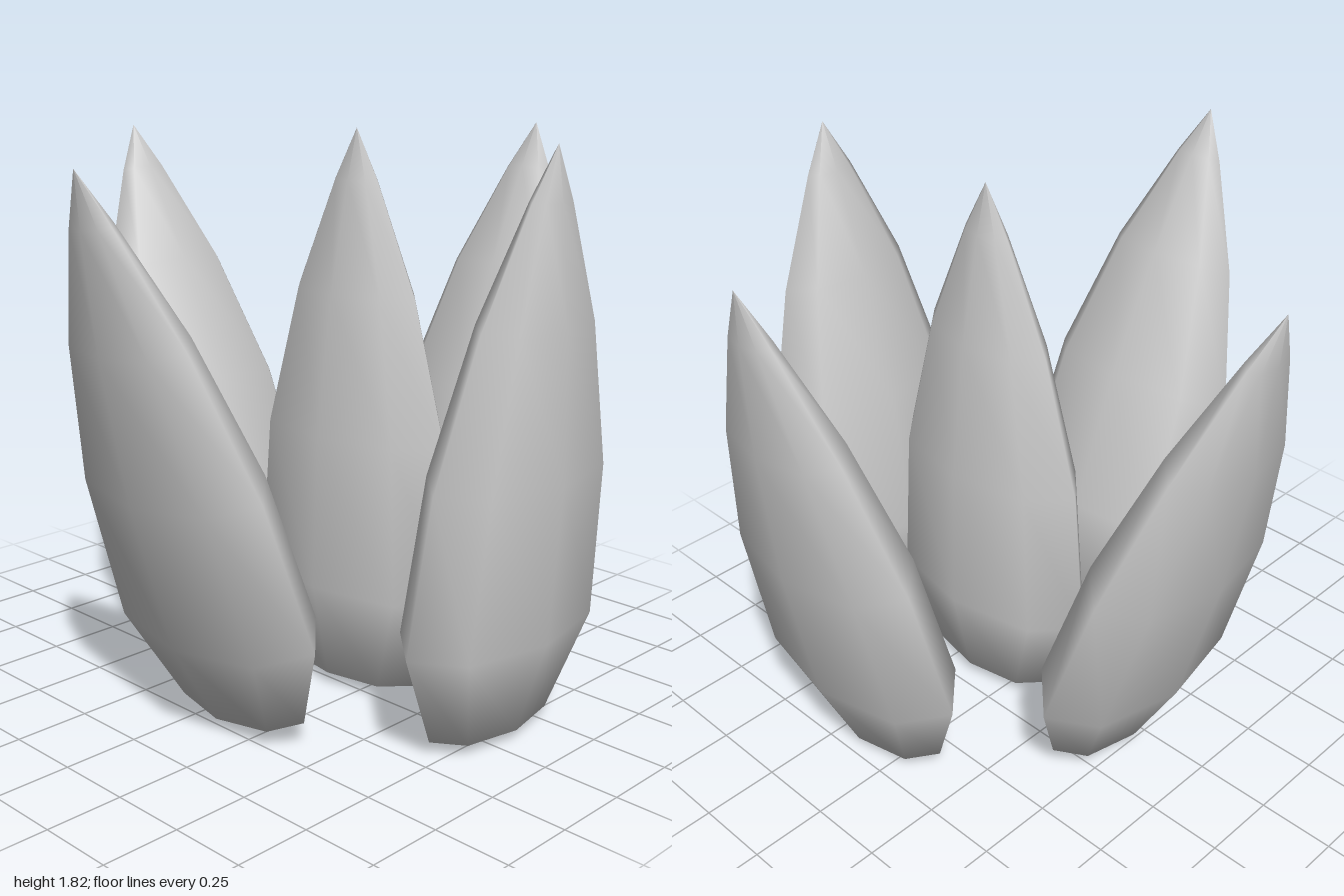
import * as THREE from 'three';

export function createModel() {
  const model = new THREE.Group();
  const material = new THREE.MeshStandardMaterial({ color: 0xcccccc });

  // Leaf blade: eight-sided spindle, flattened across its thickness (x)
  const profile = [
    [0, 0], [0.27, 0.04], [0.42, 0.36], [0.38, 0.86],
    [0.25, 1.31], [0.09, 1.66], [0, 1.82],
  ].map(([r, y]) => new THREE.Vector2(r, y));
  const blade = new THREE.LatheGeometry(profile, 8);
  blade.scale(0.45, 1, 1);

  // Each leaf: base position, heading around y, outward lean in degrees
  const leaves = [
    ['centerLeaf', [0.08, 0, 0.14], 0, 0],
    ['leftLeaf', [0.59, 0.02, 0.14], 0, 13],
    ['frontLeaf', [0.08, 0.005, 0.706], -90, 6.1],
    ['rightLeaf', [-0.407, 0.045, 0.14], 180, 18.9],
    ['backLeaf', [0.08, 0.047, -0.392], 90, 18.2],
  ];
  for (const [name, base, heading, lean] of leaves) {
    const leaf = new THREE.Mesh(blade, material);
    leaf.name = name;
    leaf.position.set(...base);
    leaf.rotation.set(0, THREE.MathUtils.degToRad(heading), -THREE.MathUtils.degToRad(lean), 'YXZ');
    model.add(leaf);
  }
  return model;
}
